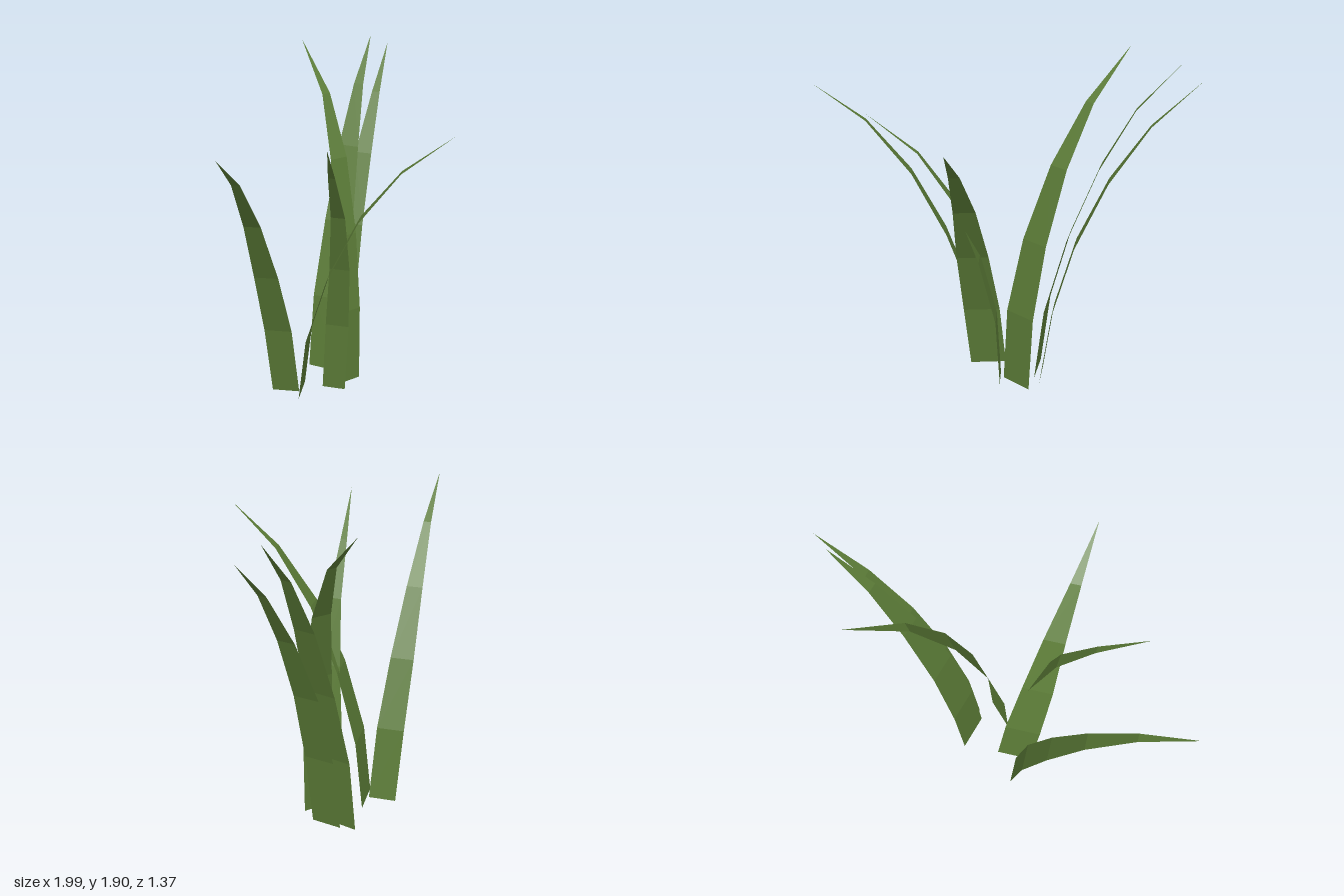
import * as THREE from 'three';

// Width of a blade at each ring, from root to tip
const TAPER = [1, 1, 0.85, 0.58, 0.28, 0];

// Each blade: half of its root edge (x, z) and the centre line from root to tip
const BLADES = [
  { name: 'leftBackBlade', half: [0.03, 0.1], path: [
    [0.2, 0, -0.24], [0.25, 0.45, -0.245], [0.36, 0.9, -0.27],
    [0.505, 1.32, -0.325], [0.665, 1.65, -0.39], [0.863, 1.9, -0.468]] },
  { name: 'leftOuterBlade', half: [0.03, 0.08], path: [
    [0.25, 0, -0.19], [0.31, 0.45, -0.2], [0.42, 0.88, -0.23],
    [0.58, 1.27, -0.275], [0.77, 1.59, -0.345], [0.995, 1.84, -0.445]] },
  { name: 'tallBackBlade', half: [0.093, 0.02], path: [
    [0.167, 0, -0.036], [0.18, 0.45, -0.047], [0.23, 0.89, -0.11],
    [0.307, 1.31, -0.225], [0.393, 1.64, -0.4], [0.495, 1.9, -0.685]] },
  { name: 'rightOuterBlade', half: [0.043, 0.065], path: [
    [-0.15, 0, -0.225], [-0.23, 0.425, -0.2], [-0.365, 0.81, -0.145],
    [-0.537, 1.175, -0.06], [-0.75, 1.48, 0.06], [-0.995, 1.69, 0.203]] },
  { name: 'frontBlade', half: [0.087, -0.057], path: [
    [-0.088, 0, -0.157], [-0.095, 0.39, -0.09], [-0.073, 0.79, 0.045],
    [-0.02, 1.14, 0.215], [0.055, 1.43, 0.43], [0.16, 1.65, 0.685]] },
  { name: 'rightFrontBlade', half: [0.03, 0.06], path: [
    [0.06, 0, -0.04], [0.05, 0.42, -0.005], [-0.015, 0.81, 0.07],
    [-0.118, 1.16, 0.15], [-0.278, 1.44, 0.25], [-0.48, 1.66, 0.405]] },
];

// Flat tapering strip: two points per ring, ending in a single tip
function bladeGeometry(path, [hx, hz]) {
  const positions = [];
  const index = [];
  const last = path.length - 1;
  path.forEach(([x, y, z], i) => {
    const w = TAPER[i];
    positions.push(x - hx * w, y, z - hz * w);
    if (i < last) positions.push(x + hx * w, y, z + hz * w);
  });
  for (let i = 0; i < last; i++) {
    const a = i * 2;
    index.push(a, a + 1, a + 2);
    if (i < last - 1) index.push(a + 1, a + 3, a + 2);
  }
  const geometry = new THREE.BufferGeometry();
  geometry.setAttribute('position', new THREE.Float32BufferAttribute(positions, 3));
  geometry.setIndex(index);
  geometry.computeVertexNormals();
  return geometry;
}

export function createModel() {
  const group = new THREE.Group();
  group.name = 'grassTuft';
  const green = new THREE.MeshStandardMaterial({
    color: 0x5a7a36, flatShading: true, side: THREE.DoubleSide });
  green.name = 'grass green';

  for (const { name, half, path } of BLADES) {
    const blade = new THREE.Mesh(bladeGeometry(path, half), green);
    blade.name = name;
    group.add(blade);
  }
  return group;
}
